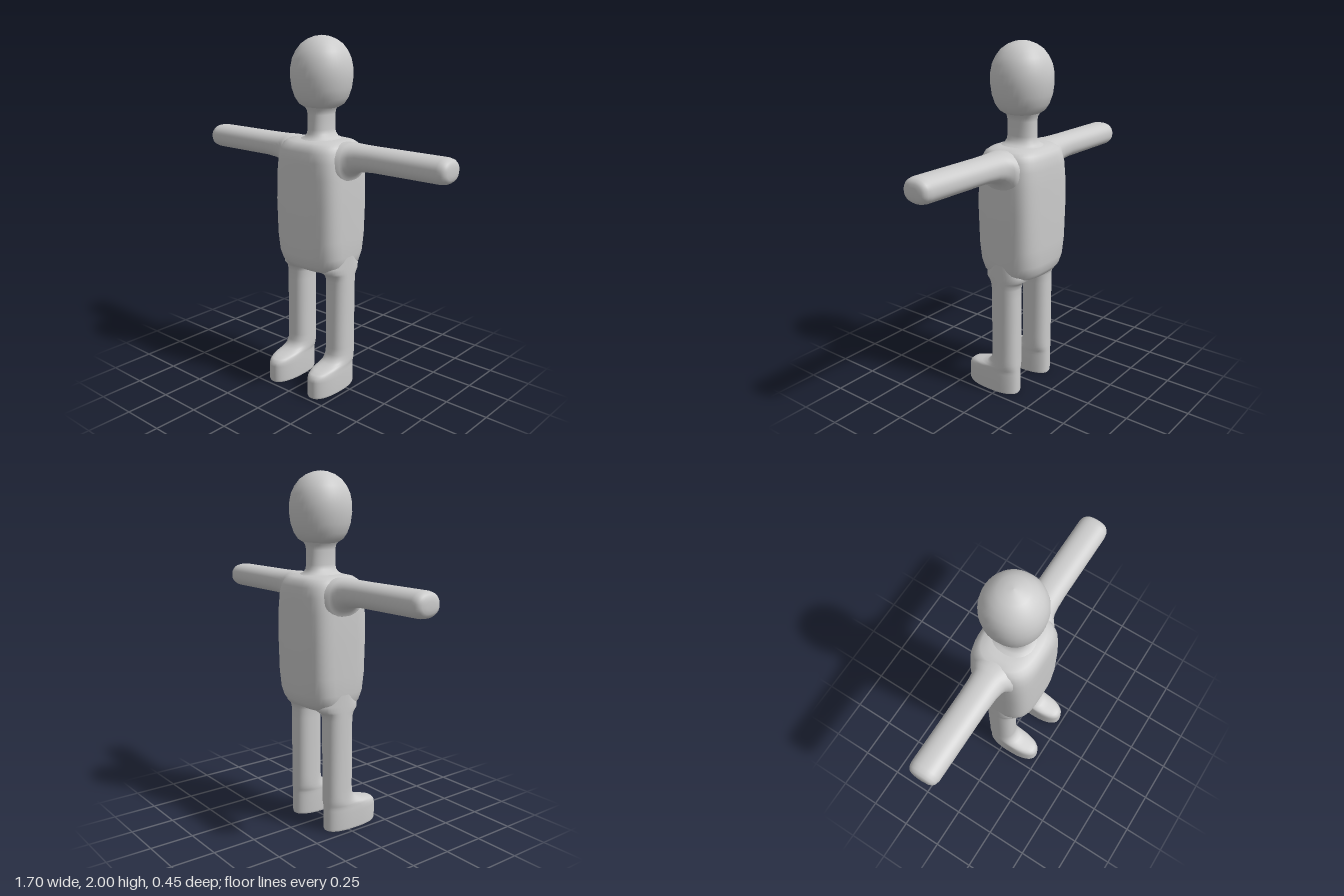
import * as THREE from 'three';

const material = new THREE.MeshStandardMaterial({ color: 0xcccccc });
const SIDES = 40;
const MID_Z = -0.03;

// Skin over superellipse rings [height, centreX, centreZ, halfX, halfZ, squareness].
// A repeated ring keeps a sharp edge.
function loft(rings) {
  const pos = [], index = [];
  const pow = (v, n) => Math.sign(v) * Math.pow(Math.abs(v), 2 / n);
  for (const [y, cx, cz, rx, rz, n] of rings) {
    for (let j = 0; j < SIDES; j++) {
      const a = (j / SIDES) * Math.PI * 2;
      pos.push(cx + rx * pow(Math.cos(a), n), y, cz - rz * pow(Math.sin(a), n));
    }
  }
  for (let i = 0; i < rings.length - 1; i++) {
    for (let j = 0; j < SIDES; j++) {
      const k = (j + 1) % SIDES;
      const a = i * SIDES + j, b = i * SIDES + k;
      index.push(a, b, b + SIDES, a, b + SIDES, a + SIDES);
    }
  }
  const geo = new THREE.BufferGeometry();
  geo.setAttribute('position', new THREE.Float32BufferAttribute(pos, 3));
  geo.setIndex(index);
  geo.computeVertexNormals();
  return geo;
}

function part(name, geo) {
  const mesh = new THREE.Mesh(geo, material);
  mesh.name = name;
  return mesh;
}

export function createModel() {
  const model = new THREE.Group();
  model.name = 'figure';

  // Torso: soft box, rounder at both ends
  const torso = [
    [0.70, 0, 0, 0], [0.70, 0.13, 0.09, 2.6], [0.705, 0.17, 0.125, 2.7], [0.72, 0.195, 0.155, 2.8],
    [0.75, 0.21, 0.175, 3], [0.80, 0.217, 0.186, 3.4], [0.90, 0.22, 0.19, 3.9], [1.10, 0.222, 0.191, 4.2],
    [1.25, 0.221, 0.19, 4], [1.34, 0.217, 0.188, 3.6], [1.39, 0.21, 0.182, 3.2], [1.42, 0.2, 0.168, 3],
    [1.437, 0.18, 0.145, 2.8], [1.446, 0.14, 0.11, 2.6], [1.449, 0.09, 0.09, 2.4], [1.449, 0, 0, 2],
  ].map(([y, rx, rz, n]) => [y, 0, MID_Z, rx, rz, n || 2.6]);
  model.add(part('torso', loft(torso)));

  // Neck, flared into the shoulders and the chin
  const neck = [
    [1.43, 0.15, 0.14], [1.445, 0.115, 0.115], [1.455, 0.085, 0.1], [1.475, 0.068, 0.088],
    [1.50, 0.063, 0.085], [1.58, 0.063, 0.085], [1.605, 0.068, 0.089], [1.625, 0.085, 0.1], [1.65, 0.1, 0.11],
  ].map(([y, rx, rz]) => [y, 0.003, MID_Z, rx, rz, 2.3]);
  model.add(part('neck', loft(neck)));

  // Head: egg with a flattened chin
  const head = [
    [1.612, 0, 2.1], [1.612, 0.06, 2.1], [1.62, 0.095, 2.1], [1.637, 0.122, 2.1], [1.67, 0.144, 2.1],
    [1.72, 0.161, 2.1], [1.78, 0.169, 2.1], [1.83, 0.168, 2.1], [1.88, 0.158, 2.1], [1.92, 0.139, 2.1],
    [1.955, 0.112, 2.1], [1.98, 0.078, 2], [1.995, 0.038, 2], [2.0, 0, 2],
  ].map(([y, r, n]) => [y, 0.004, MID_Z, r, r, n]);
  model.add(part('head', loft(head)));

  for (const s of [1, -1]) {
    const side = s > 0 ? 'left' : 'right';

    // Arm: [reach, bottom, top, half depth], flared at the shoulder
    const arm = [
      [0.15, 1.16, 1.44, 0.15], [0.205, 1.20, 1.444, 0.125], [0.222, 1.24, 1.444, 0.112],
      [0.235, 1.265, 1.443, 0.1], [0.26, 1.284, 1.442, 0.092], [0.30, 1.296, 1.441, 0.087],
      [0.38, 1.303, 1.44, 0.084], [0.80, 1.304, 1.44, 0.084], [0.825, 1.309, 1.435, 0.079],
      [0.84, 1.319, 1.425, 0.068], [0.847, 1.333, 1.411, 0.052], [0.85, 1.351, 1.393, 0.028], [0.85, 1.372, 1.372, 0],
    ].map(([x, lo, hi, rz]) => [x, -s * (lo + hi) / 2, MID_Z - 0.003, (hi - lo) / 2, rz, 2.3]);
    model.add(part(side + 'Arm', loft(arm).rotateZ(-s * Math.PI / 2)));

    // Leg and foot in one skin: [height, inner x, outer x, back z, front z]
    const leg = [
      [0, 0.15, 0.15, 0.05, 0.05], [0, 0.08, 0.222, -0.113, 0.225], [0, 0.08, 0.222, -0.113, 0.225],
      [0.012, 0.076, 0.226, -0.116, 0.23], [0.10, 0.076, 0.226, -0.116, 0.23], [0.122, 0.076, 0.225, -0.116, 0.225],
      [0.138, 0.077, 0.224, -0.116, 0.208], [0.148, 0.077, 0.224, -0.116, 0.175], [0.156, 0.077, 0.223, -0.116, 0.135],
      [0.168, 0.077, 0.222, -0.116, 0.095], [0.185, 0.077, 0.221, -0.116, 0.072], [0.21, 0.077, 0.22, -0.115, 0.058],
      [0.25, 0.077, 0.219, -0.115, 0.054], [0.60, 0.077, 0.219, -0.115, 0.054], [0.655, 0.076, 0.219, -0.116, 0.055],
      [0.68, 0.071, 0.219, -0.122, 0.062], [0.695, 0.06, 0.219, -0.135, 0.075], [0.71, 0.04, 0.219, -0.155, 0.095],
      [0.74, 0.03, 0.219, -0.16, 0.1], [0.80, 0.06, 0.218, -0.12, 0.06],
    ].map(([y, xi, xo, zb, zf]) => [y, s * (xi + xo) / 2, (zb + zf) / 2, (xo - xi) / 2, (zf - zb) / 2, 2.4]);
    model.add(part(side + 'Leg', loft(leg)));
  }
  return model;
}
